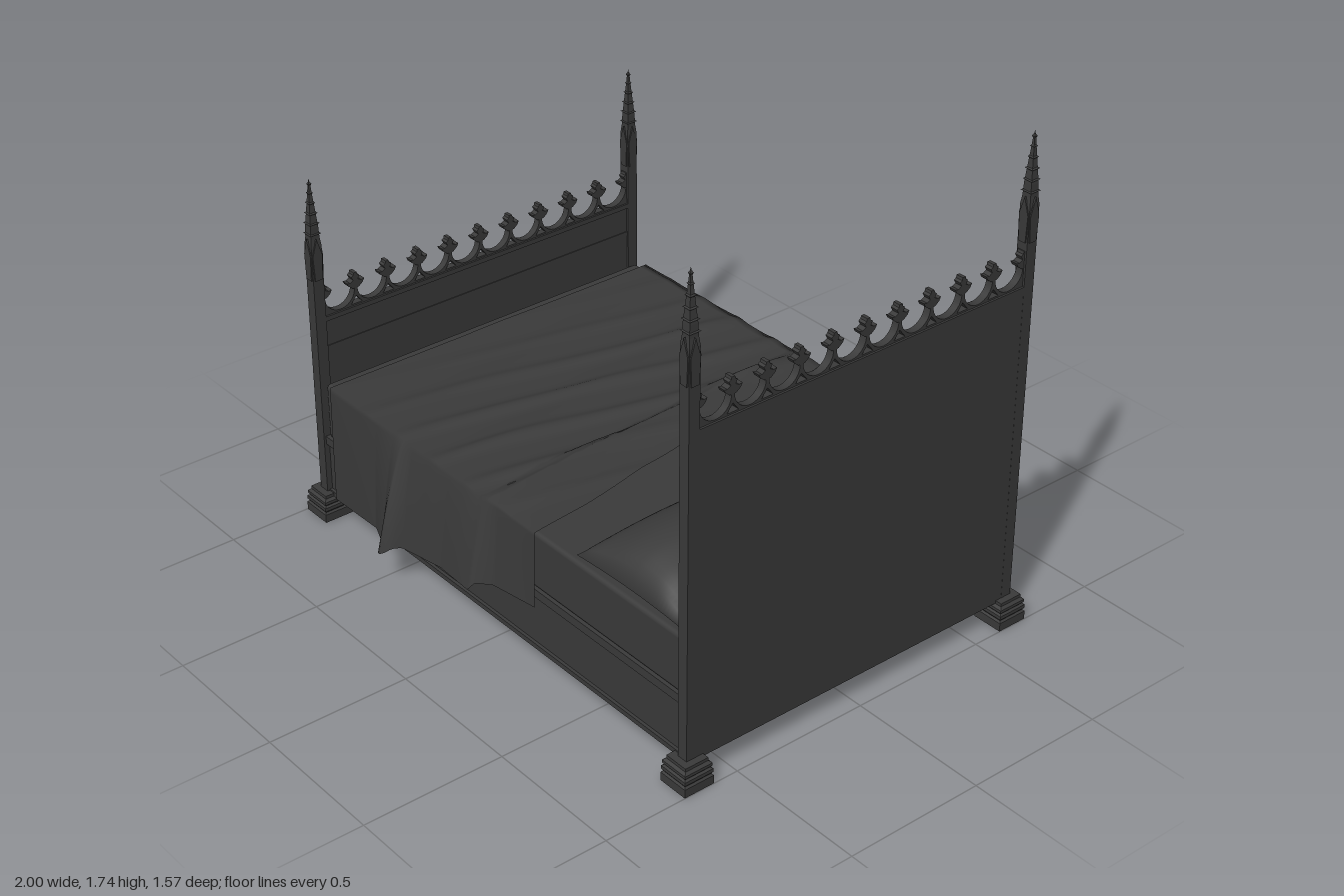
import * as THREE from 'three';
import { RoundedBoxGeometry } from 'three/addons/geometries/RoundedBoxGeometry.js';
import { ParametricGeometry } from 'three/addons/geometries/ParametricGeometry.js';

const COLOR = 0x3a3a3a;
const hard = new THREE.MeshStandardMaterial({ color: COLOR, flatShading: true, side: THREE.DoubleSide });
const soft = new THREE.MeshStandardMaterial({ color: COLOR, side: THREE.DoubleSide });

const POST_X = 0.943, POST_Z = 0.655;

function add(parent, name, geometry, material = hard, x = 0, y = 0, z = 0) {
  const mesh = new THREE.Mesh(geometry, material);
  mesh.name = name;
  mesh.position.set(x, y, z);
  parent.add(mesh);
  return mesh;
}

// Box given by its limits on each axis
function slab(parent, name, x0, x1, y0, y1, z0, z1) {
  return add(parent, name, new THREE.BoxGeometry(x1 - x0, y1 - y0, z1 - z0), hard,
    (x0 + x1) / 2, (y0 + y1) / 2, (z0 + z1) / 2);
}

// Square turned profile from [half width, height] pairs
function squareTurned(pairs) {
  const points = pairs.map(([w, y]) => new THREE.Vector2(w * Math.SQRT2, y));
  return new THREE.LatheGeometry(points, 4).rotateY(Math.PI / 4);
}

// Linear interpolation in a list of [position, value] pairs
function sample(table, t) {
  if (t <= table[0][0]) return table[0][1];
  for (let i = 1; i < table.length; i++) {
    const [a, p] = table[i - 1], [b, q] = table[i];
    if (t <= b) return p + (q - p) * (t - a) / (b - a);
  }
  return table[table.length - 1][1];
}

// Post with stepped foot, gabled pinnacle and crocketed spire
function makePost(height) {
  const post = new THREE.Group();
  add(post, 'postFoot', squareTurned([[0, 0], [0.056, 0], [0.056, 0.03], [0.05, 0.036], [0.055, 0.043],
    [0.055, 0.055], [0.048, 0.06], [0.053, 0.066], [0.053, 0.076], [0.044, 0.084], [0.044, 0.095], [0, 0.095]]));
  const shaftTop = height - 0.24;
  slab(post, 'postShaft', -0.02, 0.02, 0.09, shaftTop, -0.02, 0.02);
  // Gabled faces around the top of the shaft
  const gable = new THREE.Shape();
  [[-0.014, -0.12], [0.014, -0.12], [0.018, -0.03], [0, 0.03], [-0.018, -0.03]]
    .forEach(([x, y], i) => (i ? gable.lineTo(x, y) : gable.moveTo(x, y)));
  for (let i = 0; i < 4; i++) {
    const g = new THREE.ExtrudeGeometry(gable, { depth: 0.006, bevelEnabled: false });
    add(post, 'postGable', g.translate(0, 0, 0.018).rotateY(i * Math.PI / 2), hard, 0, shaftTop, 0);
  }
  add(post, 'spire', squareTurned([[0.02, 0], [0.0165, 0.03], [0.015, 0.07], [0.011, 0.12],
    [0.006, 0.18], [0.003, 0.22], [0, 0.24]]), hard, 0, shaftTop, 0);
  // Rings of leaf knobs climbing the spire
  [[0.045, 0.021], [0.082, 0.019], [0.118, 0.016], [0.155, 0.012], [0.19, 0.008], [0.222, 0.006]].forEach(([y, w]) =>
    add(post, 'spireCrocket', squareTurned([[w * 0.4, -0.008], [w, 0], [w * 0.4, 0.006]]), hard, 0, shaftTop + y, 0));
  return post;
}

// Pierced cresting: round cups between leafy finials
function makeCresting() {
  const count = 10, halfSpan = POST_Z - 0.018, pitch = 2 * halfSpan / count;
  const r = pitch / 2 - 0.006, cy = 0.065;
  const s = new THREE.Shape();
  s.moveTo(-halfSpan, 0);
  s.lineTo(-halfSpan, cy);
  const leaf = [[0.013, 0.066], [0.028, 0.078], [0.034, 0.09], [0.022, 0.088], [0.009, 0.095], [0.016, 0.108],
    [0.008, 0.113], [0.006, 0.122]];
  for (let i = 0; i < count; i++) {
    const c = -halfSpan + (i + 0.5) * pitch;
    if (i === 0) { // half finial against the post
      s.lineTo(-halfSpan, 0.122);
      [...leaf].reverse().forEach(([x, y]) => s.lineTo(-halfSpan + x, y));
    }
    s.lineTo(c - r, cy);
    s.absarc(c, cy, r, Math.PI, 2 * Math.PI, false);
    const f = c + pitch / 2;
    leaf.forEach(([x, y]) => s.lineTo(f - x, y));
    if (i < count - 1) [...leaf].reverse().forEach(([x, y]) => s.lineTo(f + x, y));
    else s.lineTo(halfSpan, 0.122);
    if (i < count - 1) { // small pierced triangle below each finial
      const hole = new THREE.Path();
      hole.moveTo(f - 0.022, 0.008);
      hole.lineTo(f, 0.036);
      hole.lineTo(f + 0.022, 0.008);
      hole.closePath();
      s.holes.push(hole);
    }
  }
  s.lineTo(halfSpan, 0);
  s.closePath();
  const g = new THREE.ExtrudeGeometry(s, { depth: 0.026, bevelEnabled: false, curveSegments: 14 });
  return g.translate(0, 0, -0.013).rotateY(Math.PI / 2);
}

// End board: side is +1 for the head, -1 for the foot
function makeEnd(side, panelTop, postTop) {
  const end = new THREE.Group();
  for (const z of [-POST_Z, POST_Z]) {
    const post = makePost(postTop);
    post.name = 'post';
    post.position.z = z;
    end.add(post);
  }
  const w = POST_Z - 0.015;
  slab(end, 'panel', -0.012, 0.012, 0.085, panelTop, -w, w);
  slab(end, 'panelCap', -0.02, 0.02, panelTop - 0.015, panelTop + 0.002, -w, w);
  slab(end, 'panelUpperMoulding', -0.018, 0.015, panelTop - 0.125, panelTop - 0.11, -w, w);
  slab(end, 'panelLowerMoulding', -0.018, 0.015, 0.28, 0.305, -w, w);
  slab(end, 'panelBottomRail', -0.016, 0.016, 0.085, 0.11, -w, w);
  if (side > 0) slab(end, 'backBoard', 0.012, 0.0195, 0.085, panelTop, -w, w);
  add(end, 'cresting', makeCresting(), hard, 0, panelTop, 0);
  end.position.x = side * POST_X;
  if (side < 0) end.scale.x = 1;
  return end;
}

// Plump pillow with flat underside and pulled-out corners
function makePillow(sign) {
  const pillow = new THREE.Group();
  const cover = (top) => (a, b, target) => {
    const [p, q] = top ? [b, a] : [a, b];
    const u = 2 * p - 1, v = 2 * q - 1;
    const fill = Math.max(0, (1 - u * u) * (1 - v * v));
    const crease = 0.006 * Math.sin(u * 9 + v * 4) * Math.abs(u * v) * Math.sqrt(fill);
    target.set(
      0.668 + 0.245 * u * (1 - 0.06 * (1 - v * v)),
      top ? 0.535 + 0.155 * Math.pow(1 - u * u, 0.7) * Math.pow(Math.max(0, 1 - v * v), 0.42) + crease
        : 0.535 - 0.022 * Math.pow(fill, 0.3),
      sign * 0.328 + 0.325 * v * (1 - 0.03 * (1 - u * u)));
  };
  add(pillow, 'pillowTop', new ParametricGeometry(cover(true), 32, 32), soft);
  add(pillow, 'pillowUnderside', new ParametricGeometry(cover(false), 16, 16), soft);
  return pillow;
}

// Blanket: back hem (u = 0), over the mattress, to front hem (u = 1)
function makeBlanket() {
  const edge = [[0, 0.03], [0.25, 0.05], [0.31, 0.1], [0.5, 0.14], [0.67, 0.22], [0.75, 0.24], [1, 0.24]];
  const frontHem = [[-0.87, 0.09], [-0.44, 0.14], [-0.42, 0.16], [-0.02, 0.21], [0.0, 0.24], [0.24, 0.255]];
  const frontFlare = [[-0.87, 0.004], [-0.6, 0.025], [-0.5, 0.07], [-0.45, 0.124], [-0.4, 0.06], [-0.2, 0.05],
    [-0.02, 0.075], [0.05, 0.025], [0.24, 0.008]];
  const backHem = [[-0.87, 0.28], [-0.6, 0.22], [-0.5, 0.18], [-0.17, 0.07], [0.02, 0.015]];
  const backFlare = [[-0.87, 0.02], [-0.6, 0.012], [-0.55, 0.065], [-0.4, 0.02], [-0.28, 0.08], [-0.22, 0.025],
    [-0.17, 0.085], [-0.1, 0.025], [-0.02, 0.1], [0.03, 0.11]];
  const turnedStrip = [[-0.06, 0], [-0.02, 0.024], [0.03, 0.02], [0.1, 0.008], [0.24, 0.006]];
  const folds = (x, z) => {
    const a = 0.5 + 0.5 * Math.sin(34 * x + 4.5 * z + 2 * Math.sin(2.2 * z));
    const b = 0.5 + 0.5 * Math.sin(19 * x - 3 * z + 1);
    const fade = Math.min(1, Math.max(0.15, (x + 0.87) * 2.2)) * (x > -0.02 ? 0.4 : 1);
    return (0.016 * a ** 3 + 0.008 * b * b) * fade + sample(turnedStrip, x - 0.04 * z);
  };
  return new ParametricGeometry((u, v, target) => {
    const x = -0.87 + (sample(edge, u) + 0.87) * v;
    const across = Math.min(1, Math.max(-1, (u - 0.5) * 4));
    const top = 0.524 + folds(x, across * 0.67) * (1 - 0.7 * across ** 8);
    const hang = Math.max(0, Math.abs(u - 0.5) * 4 - 1);
    const front = u > 0.5;
    const hem = sample(front ? frontHem : backHem, x);
    const flare = sample(front ? frontFlare : backFlare, x);
    target.set(x, top + (hem - top) * hang, across * 0.672 + Math.sign(across) * flare * Math.pow(hang, 0.8));
  }, 100, 110);
}

export function createModel() {
  const bed = new THREE.Group();
  bed.name = 'bed';

  const head = makeEnd(1, 1.225, 1.735);
  head.name = 'headboard';
  const foot = makeEnd(-1, 0.755, 1.262);
  foot.name = 'footboard';
  bed.add(head, foot);

  // Closed base with projecting ledges
  slab(bed, 'base', -0.935, 0.935, 0.085, 0.285, -0.655, 0.655);
  slab(bed, 'baseLedge', -0.93, 0.93, 0.28, 0.31, -0.667, 0.667);
  for (const s of [-1, 1]) slab(bed, 'baseSkirting', -0.93, 0.93, 0.083, 0.1, s * 0.66 - 0.006, s * 0.66 + 0.006);

  add(bed, 'mattress', new RoundedBoxGeometry(1.83, 0.207, 1.32, 3, 0.015), soft, 0, 0.4125, 0);

  for (const s of [-1, 1]) {
    const pillow = makePillow(s);
    pillow.name = 'pillow';
    bed.add(pillow);
  }
  add(bed, 'blanket', makeBlanket(), soft);

  bed.position.z = -0.008;
  const model = new THREE.Group();
  model.add(bed);
  return model;
}
